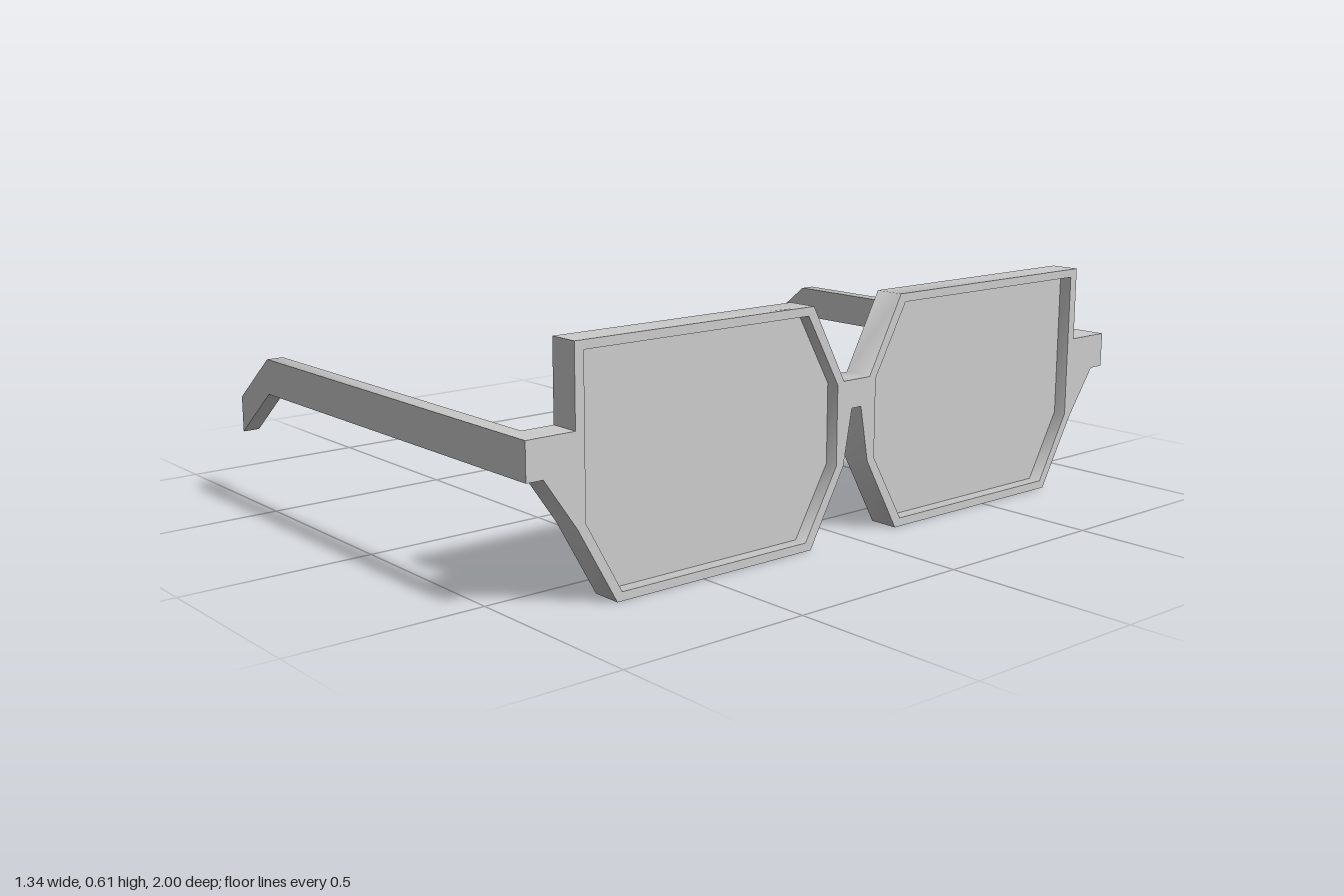
import * as THREE from 'three';
import { toCreasedNormals } from 'three/addons/utils/BufferGeometryUtils.js';

const material = new THREE.MeshStandardMaterial({ color: 0xcccccc });

const toPoints = (pairs) => pairs.map(([a, b]) => new THREE.Vector2(a, b));
const mirror = (pairs) => pairs.map(([a, b]) => [-a, b]).reverse();

// Flat plate: square edges stay sharp, gentler bends along the rim are smooth
function plate(name, shape, depth) {
  const geometry = new THREE.ExtrudeGeometry(shape, { depth, bevelEnabled: false });
  const mesh = new THREE.Mesh(toCreasedNormals(geometry, 1.2), material);
  mesh.name = name;
  return mesh;
}

export function createModel() {
  const group = new THREE.Group();
  group.name = 'eyeglasses';

  const back = 0.59, thickness = 0.08;

  // Half outline of the rim, counter-clockwise from the bridge underside to the bridge top
  const half = [
    [0.016, 0.34], [0.043, 0.195], [0.152, 0], [0.757, 0], [0.865, 0.19], [0.955, 0.318],
    [1, 0.318], [1, 0.412], [0.868, 0.412], [0.868, 0.61], [0.153, 0.61], [0.045, 0.412],
  ];
  const opening = [
    [0.067, 0.405], [0.17, 0.588], [0.843, 0.588], [0.843, 0.2],
    [0.743, 0.022], [0.17, 0.022], [0.067, 0.2],
  ];

  // Front frame with two lens openings
  const outline = new THREE.Shape(toPoints([...half, ...mirror(half)]));
  for (const hole of [opening, mirror(opening)]) outline.holes.push(new THREE.Path(toPoints(hole)));
  const frame = plate('frontFrame', outline, thickness);
  frame.rotation.y = Math.PI / 2;
  frame.position.x = back;
  group.add(frame);

  // Thin lenses set halfway into the rims
  const lensDepth = 0.01;
  for (const [name, points] of [['rightLens', opening], ['leftLens', mirror(opening)]]) {
    const lens = plate(name, new THREE.Shape(toPoints(points)), lensDepth);
    lens.rotation.y = Math.PI / 2;
    lens.position.x = back + (thickness - lensDepth) / 2;
    group.add(lens);
  }

  // Temple arms with bent ear tips
  const arm = new THREE.Shape(toPoints([
    [back, 0.318], [back, 0.412], [-0.508, 0.412], [-0.67, 0.285], [-0.67, 0.188], [-0.508, 0.318],
  ]));
  const armWidth = 0.045;
  for (const [name, z] of [['leftTemple', 1 - armWidth], ['rightTemple', -1]]) {
    const temple = plate(name, arm, armWidth);
    temple.position.z = z;
    group.add(temple);
  }

  return group;
}
